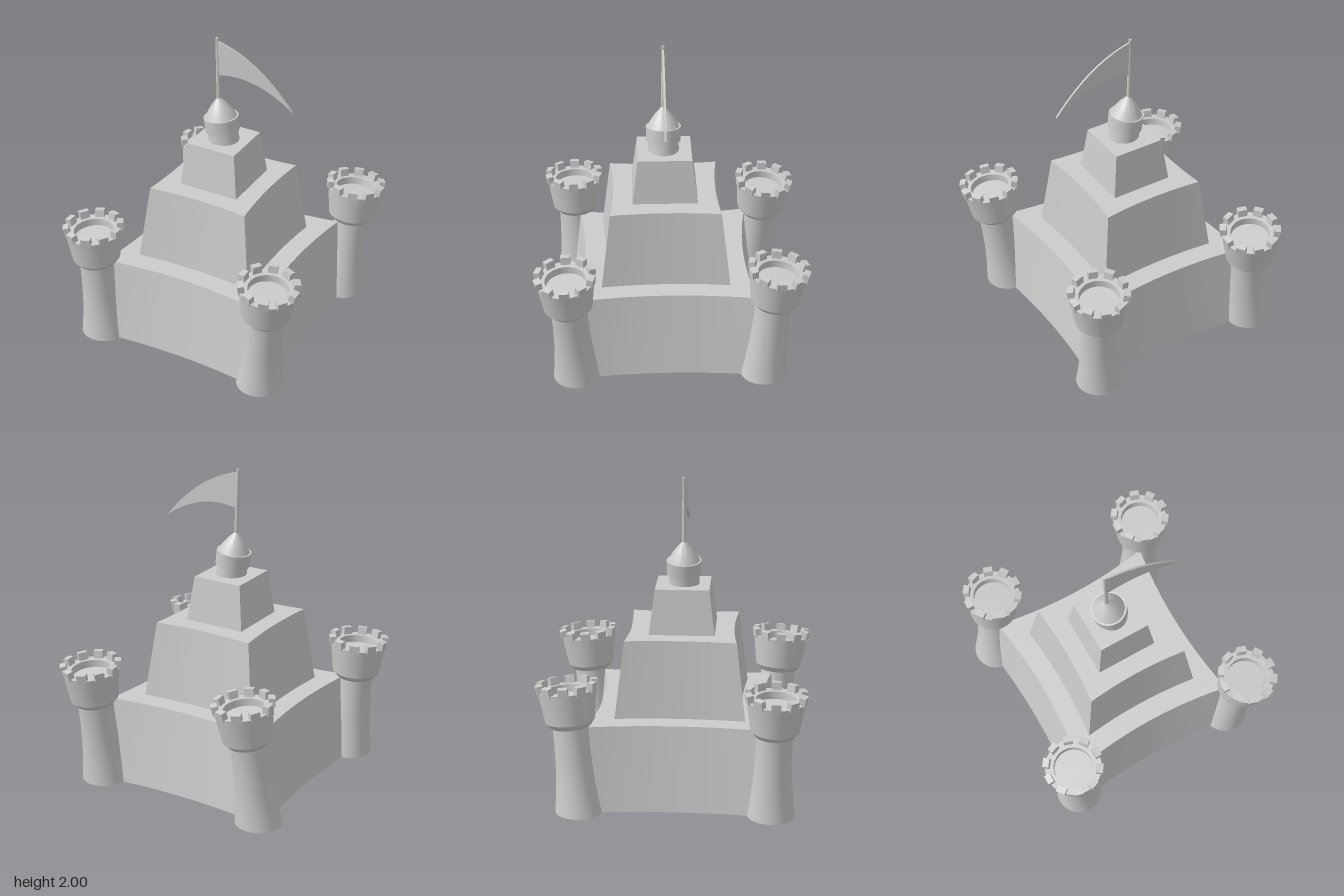
import * as THREE from 'three';
import { toCreasedNormals, mergeGeometries } from 'three/addons/utils/BufferGeometryUtils.js';

const grey = new THREE.MeshStandardMaterial({ color: 0xcccccc });
const greyDouble = new THREE.MeshStandardMaterial({ color: 0xcccccc, side: THREE.DoubleSide });

function mesh(name, geometry, material = grey) {
  const m = new THREE.Mesh(geometry, material);
  m.name = name;
  return m;
}

function lathe(profile, segments = 40) {
  const points = profile.map(([r, y]) => new THREE.Vector2(r, y));
  return toCreasedNormals(new THREE.LatheGeometry(points, segments), 0.4);
}

// Square rings with inward-bowed sides: [height, half width at corner, half width at middle]
function bowedShell(rings, steps = 12) {
  const position = [], index = [];
  const count = steps * 4;
  for (const [y, corner, middle] of rings) {
    for (let side = 0; side < 4; side++) {
      for (let j = 0; j < steps; j++) {
        const t = (j / steps) * 2 - 1;
        let x = t * corner, z = middle + (corner - middle) * t * t;
        for (let k = 0; k < side; k++) [x, z] = [z, -x];
        position.push(x, y, z);
      }
    }
  }
  for (let i = 0; i < rings.length - 1; i++) {
    for (let j = 0; j < count; j++) {
      const a = i * count + j, b = i * count + ((j + 1) % count);
      index.push(a, b, b + count, a, b + count, a + count);
    }
  }
  const g = new THREE.BufferGeometry();
  g.setAttribute('position', new THREE.Float32BufferAttribute(position, 3));
  g.setIndex(index);
  return toCreasedNormals(g, 0.4);
}

// Leans a tower geometry while its foot stays flat on the ground
function lean(geometry, dx, dz) {
  const p = geometry.attributes.position;
  for (let i = 0; i < p.count; i++) {
    const x = p.getX(i), y = p.getY(i), z = p.getZ(i), k = y / 0.78;
    p.setXYZ(i, x + dx * k, y - ((dx * x + dz * z) / 0.78) * Math.min(k * 2, 1), z + dz * k);
  }
  return toCreasedNormals(geometry, 0.4);
}

function tower(name, x, z, dx, dz) {
  const g = new THREE.Group();
  g.name = name;
  // Flared shaft, corbelled head and sunken floor in one profile
  const body = lathe([
    [0, 0], [0.148, 0], [0.134, 0.1], [0.123, 0.2], [0.116, 0.3], [0.112, 0.42], [0.112, 0.54],
    [0.122, 0.54], [0.152, 0.575], [0.18, 0.772], [0.125, 0.772], [0.122, 0.725], [0, 0.725],
  ]);
  g.add(mesh('towerBody', lean(body, dx, dz)));

  // Ring of battlements
  const blocks = [];
  for (let i = 0; i < 10; i++) {
    const b = new THREE.BoxGeometry(0.06, 0.055, 0.04);
    b.rotateX(0.14);
    b.translate(0, 0.79, 0.169);
    b.rotateY(((i + 0.5) * Math.PI) / 5);
    blocks.push(b);
  }
  g.add(mesh('battlements', lean(mergeGeometries(blocks), dx, dz)));
  g.position.set(x, 0, z);
  return g;
}

export function createModel() {
  const model = new THREE.Group();
  model.name = 'castle';

  // Three-tier keep, hollow and open underneath
  const keep = mesh('keep', bowedShell([
    [0, 0.63, 0.58], [0.54, 0.55, 0.5],
    [0.54, 0.395, 0.37], [1.03, 0.337, 0.316],
    [1.03, 0.2, 0.2], [1.315, 0.165, 0.165], [1.315, 0, 0],
  ]), greyDouble);
  keep.position.set(-0.022, 0, 0.025);
  keep.scale.z = 1.03;
  model.add(keep);

  // Corner towers, each leaning its own way
  model.add(
    tower('frontRightTower', -0.6, 0.6, -0.035, 0.02),
    tower('frontLeftTower', 0.555, 0.6, 0.077, 0.05),
    tower('backRightTower', -0.6, -0.59, 0.07, -0.07),
    tower('backLeftTower', 0.555, -0.59, 0.036, -0.07),
  );

  // Crooked turret with band and pointed roof
  const turret = new THREE.Group();
  turret.name = 'turret';
  turret.add(
    mesh('turretNeck', lathe([[0.098, -0.02], [0.094, 0.08]])),
    mesh('turretBand', lathe([[0.09, 0.062], [0.108, 0.062], [0.11, 0.155], [0.098, 0.155]])),
    mesh('turretRoof', lathe([[0.1, 0.153], [0.078, 0.195], [0.05, 0.235], [0.022, 0.268], [0, 0.292]])),
  );
  turret.position.set(-0.02, 1.315, 0.03);
  turret.rotation.z = 0.13;
  model.add(turret);

  // Flagpole
  const pole = mesh('flagpole', new THREE.CylinderGeometry(0.01, 0.013, 0.44, 12));
  pole.position.set(-0.061, 1.78, 0.03);
  pole.rotation.z = 0.025;
  model.add(pole);

  // Swept pennant
  const shape = new THREE.Shape();
  shape.moveTo(-0.063, 1.98);
  shape.quadraticCurveTo(0.22, 1.92, 0.46, 1.622);
  shape.quadraticCurveTo(0.2, 1.815, -0.06, 1.75);
  shape.closePath();
  const flag = mesh('flag', new THREE.ExtrudeGeometry(shape, { depth: 0.012, bevelEnabled: false, curveSegments: 16 }));
  flag.position.z = 0.024;
  model.add(flag);

  return model;
}
